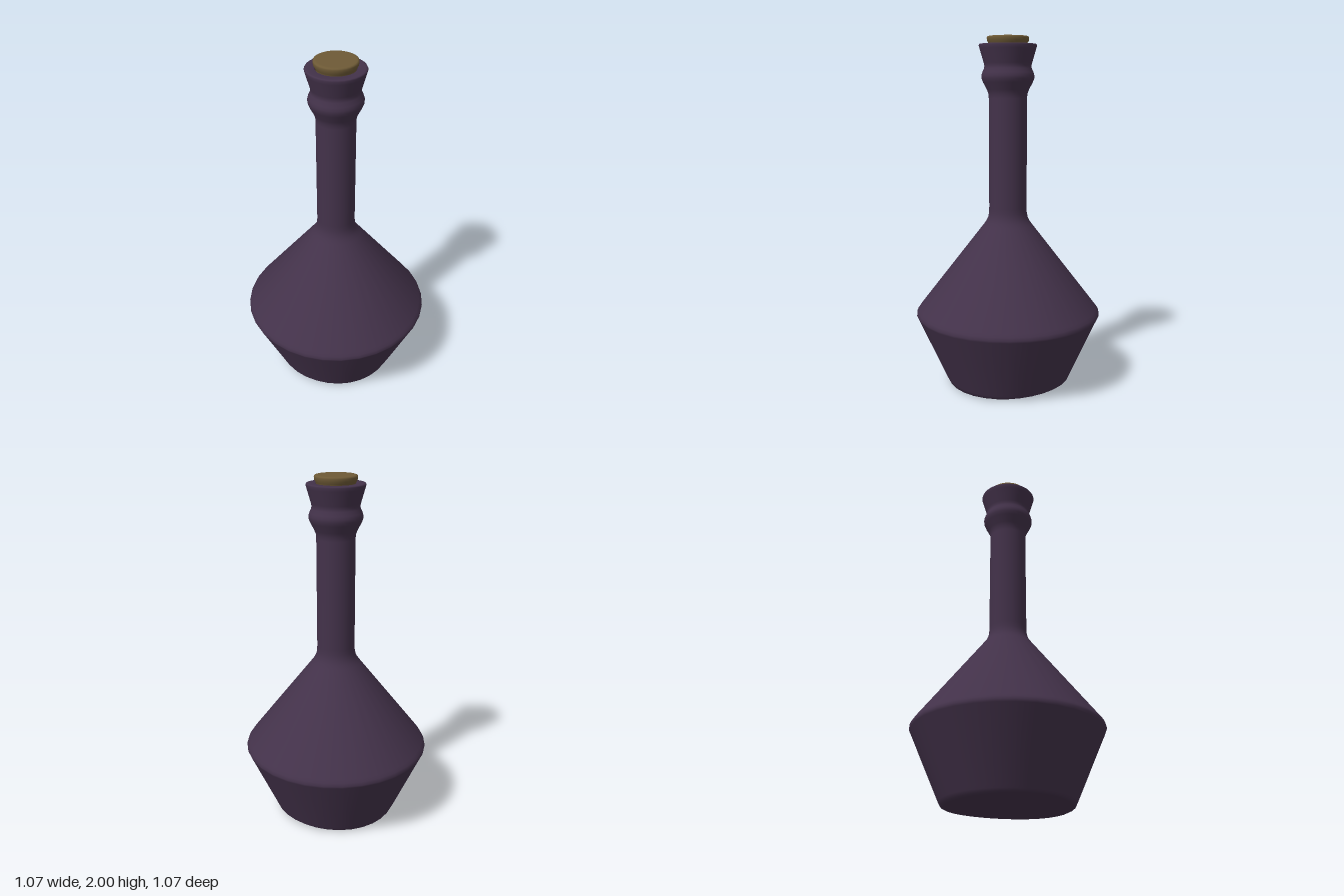
import * as THREE from 'three';

const SEGMENTS = 32;

// Turned part from [radius, height] pairs, listed from bottom to top
function turned(name, points, material) {
  const profile = points.map(([r, y]) => new THREE.Vector2(r, y));
  const mesh = new THREE.Mesh(new THREE.LatheGeometry(profile, SEGMENTS), material);
  mesh.name = name;
  return mesh;
}

export function createModel() {
  const glass = new THREE.MeshStandardMaterial({ color: 0x43324a });
  glass.name = 'dark purple glass';
  const corkMaterial = new THREE.MeshStandardMaterial({ color: 0x6e5a36 });
  corkMaterial.name = 'cork brown';

  const group = new THREE.Group();
  group.name = 'bottle';

  // Body, neck, collar ring and flared lip, folding into the mouth
  const bottle = turned('bottleBody', [
    [0, 0.016], [0.32, 0.008], [0.34, 0.001], [0.355, 0.008], [0.365, 0.03],
    [0.372, 0.045], [0.525, 0.39], [0.532, 0.404], [0.537, 0.417], [0.53, 0.434],
    [0.518, 0.45], [0.142, 0.935], [0.126, 0.957], [0.114, 0.982], [0.109, 1.01],
    [0.108, 1.04], [0.108, 1.66], [0.11, 1.685], [0.119, 1.708], [0.14, 1.748],
    [0.148, 1.768], [0.149, 1.785], [0.144, 1.802], [0.134, 1.824], [0.132, 1.838],
    [0.135, 1.853], [0.158, 1.932], [0.163, 1.95], [0.159, 1.957], [0.15, 1.957],
    [0.112, 1.957], [0.105, 1.95], [0.103, 1.9],
  ], glass);

  // Worn foot: the rim lifts slightly toward the front and back
  const pos = bottle.geometry.attributes.position;
  for (let i = 0; i < pos.count; i++) {
    if (pos.getY(i) < 0.02) {
      const lift = 0.014 * (pos.getZ(i) / 0.35) ** 2;
      pos.setY(i, pos.getY(i) + lift);
    }
  }
  group.add(bottle);

  // Stopper with a rounded upper edge
  group.add(turned('corkStopper', [
    [0, 1.9], [0.1, 1.9], [0.104, 1.95], [0.109, 1.962], [0.116, 1.975],
    [0.118, 1.99], [0.116, 1.997], [0.11, 2], [0.1, 2], [0, 2],
  ], corkMaterial));

  return group;
}
